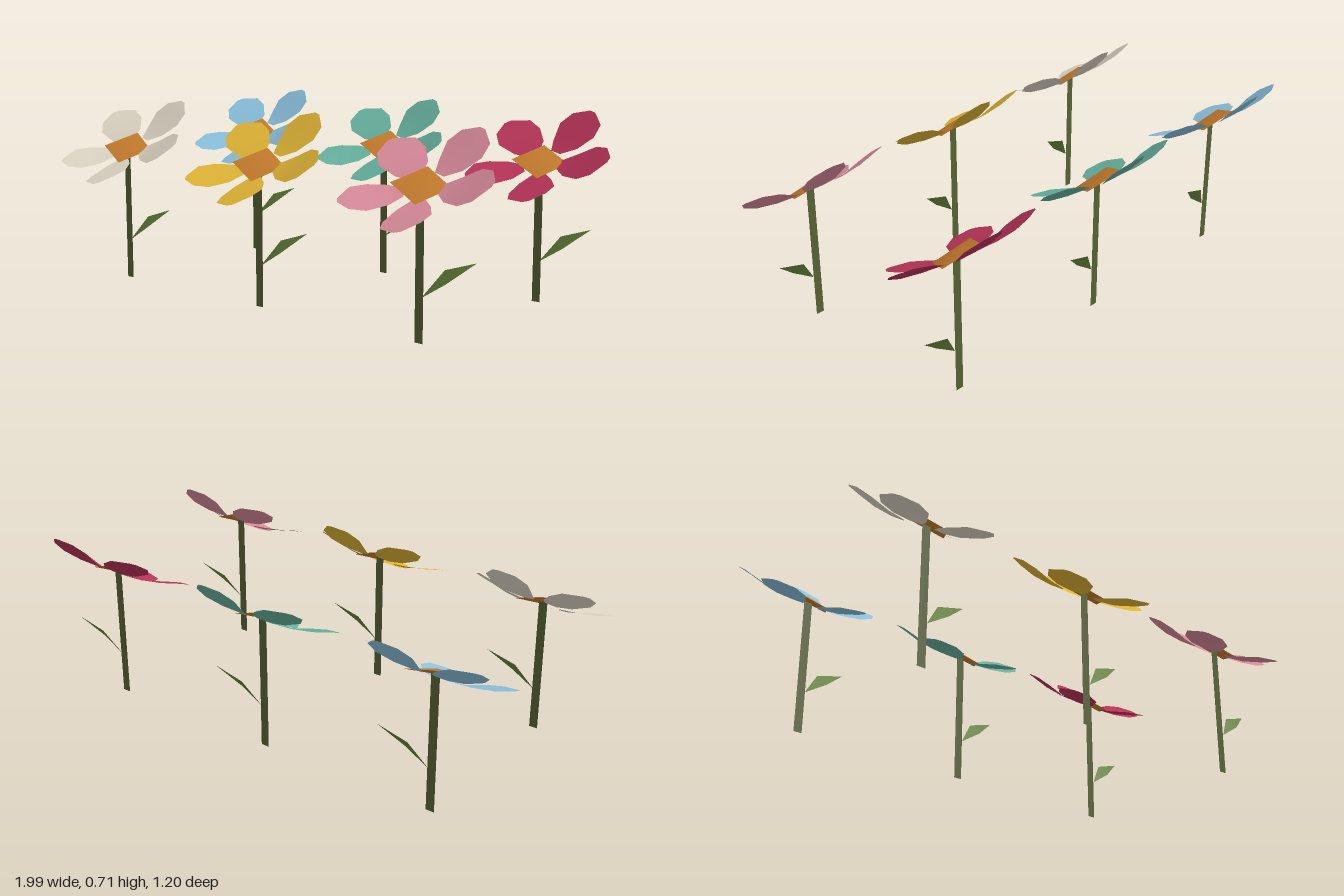
import * as THREE from 'three';

// One material per flat colour; all parts are thin open sheets
function paint(name, color) {
  const m = new THREE.MeshStandardMaterial({ color, side: THREE.DoubleSide });
  m.name = name;
  return m;
}

function sheet(points, index) {
  const g = new THREE.BufferGeometry();
  g.setAttribute('position', new THREE.Float32BufferAttribute(points.flat(), 3));
  g.setIndex(index);
  g.computeVertexNormals();
  return g;
}

// Petal along +x, curling up with a slight twist:
// cross-sections of [distance, one edge, its lift, other edge, its lift]
function petalGeometry() {
  const rows = [
    [0.07, 0.024, -0.012, -0.024, -0.012],
    [0.12, 0.058, -0.005, -0.065, -0.009],
    [0.19, 0.086, 0.017, -0.087, 0.003],
    [0.245, 0.068, 0.031, -0.075, 0.02],
    [0.284, 0.014, 0.034, -0.012, 0.032],
  ];
  const points = [], index = [];
  rows.forEach(([x, a, liftA, b, liftB], i) => {
    points.push([x, liftA, -a], [x, liftB, -b]);
    if (i) {
      const k = 2 * i;
      index.push(k - 2, k - 1, k, k - 1, k + 1, k);
    }
  });
  return sheet(points, index);
}

export function createModel() {
  const group = new THREE.Group();
  group.name = 'flowerBed';

  const stemMat = paint('stem green', 0x566133);
  const leafMat = paint('leaf green', 0x64823a);
  const centerMat = paint('flower center brown', 0xc67c2c);
  const petalMats = [
    ['cream', 0xe0d8c7], ['yellow', 0xe2b636], ['pink', 0xdb8c9c],
    ['sky blue', 0x8cc3e0], ['teal', 0x68b3a0], ['crimson', 0xba3459],
  ].map(([n, c]) => paint(n + ' petals', c));

  const petalGeo = petalGeometry();
  const stemGeo = new THREE.PlaneGeometry(0.034, 0.525).translate(0, 0.2625, 0);
  // Square, slightly domed flower center, turned and tipped towards the front
  const centerGeo = sheet(
    [[-0.032, 0.05, -0.081], [-0.1, 0.003, 0.035], [0.036, -0.05, 0.078], [0.099, -0.003, -0.034],
      [0.003, 0.012, 0.006]],
    [0, 1, 4, 1, 2, 4, 2, 3, 4, 3, 0, 4]);
  // Slim folded leaf pointing to the side and up
  const leafGeo = sheet(
    [[0.012, 0.157, 0.006], [0.106, 0.217, 0], [0.198, 0.294, -0.043], [0.081, 0.256, -0.03]],
    [0, 1, 3, 1, 2, 3]);

  function add(parent, name, geometry, material) {
    const mesh = new THREE.Mesh(geometry, material);
    mesh.name = name;
    parent.add(mesh);
    return mesh;
  }

  petalMats.forEach((petalMat, i) => {
    const flower = new THREE.Group();
    flower.name = 'flower';
    flower.position.set(-0.75 + 0.732 * (i % 3), 0, i < 3 ? 0.365 : -0.368);
    add(flower, 'stem', stemGeo, stemMat);
    add(flower, 'leaf', leafGeo, leafMat);
    add(flower, 'flowerCenter', centerGeo, centerMat).position.set(0, 0.532, -0.001);

    // Ring of five petals, leaning forward
    const petals = new THREE.Group();
    petals.name = 'petals';
    petals.position.set(0, 0.536, -0.011);
    petals.rotation.x = 0.55;
    for (let k = 0; k < 5; k++) {
      add(petals, 'petal', petalGeo, petalMat).rotation.y = k * Math.PI * 2 / 5;
    }
    flower.add(petals);
    group.add(flower);
  });
  return group;
}
